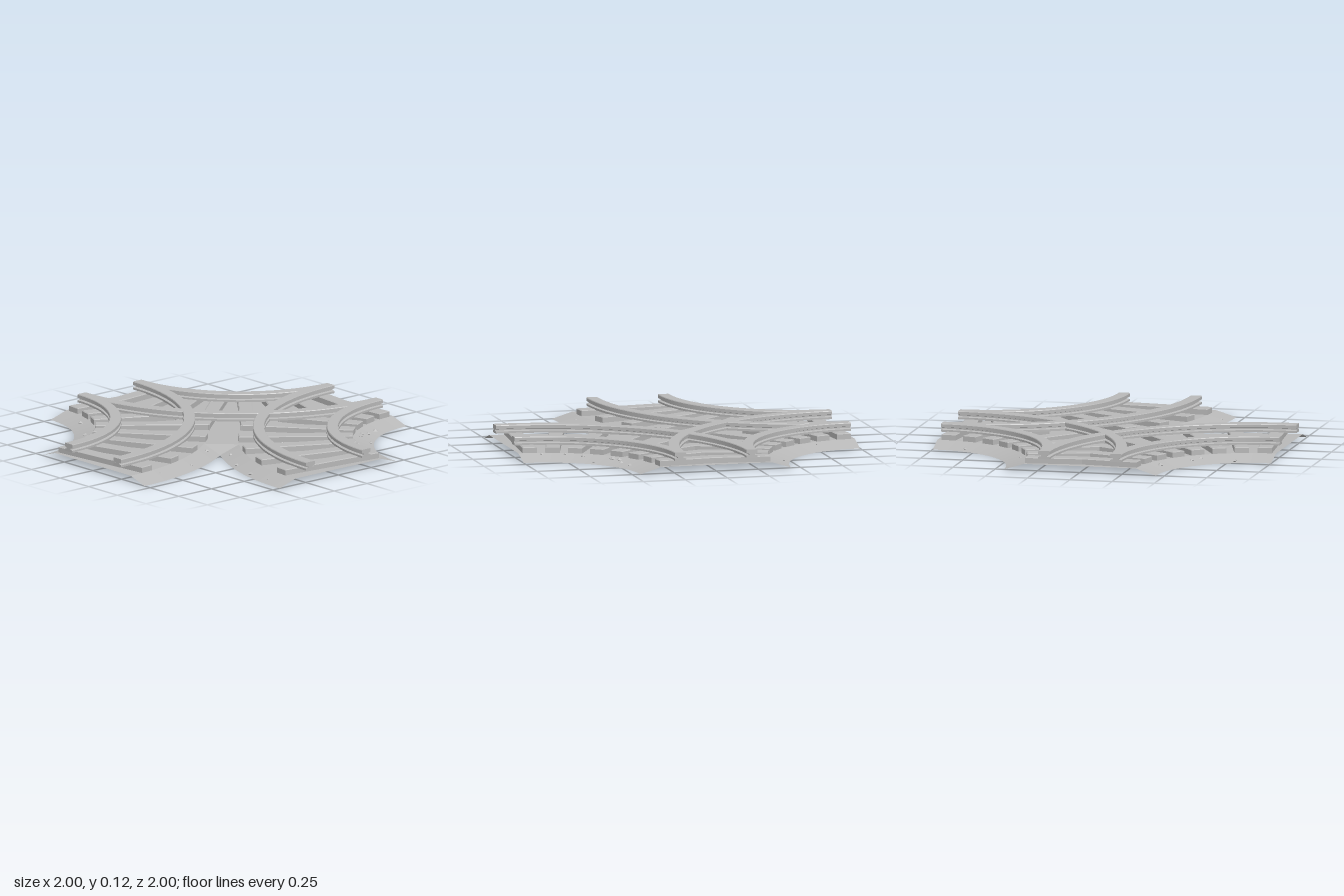
import * as THREE from 'three';
import { toCreasedNormals } from 'three/addons/utils/BufferGeometryUtils.js';

const Q = Math.PI / 2;
const BED = 0.037;      // height of the flat ballast
const FLAT = 0.33;      // half width of the flat ballast
const EDGE = 0.45;      // half width at the ground

// Three quarter-circle tracks; "shared" marks ends where two tracks merge
const TRACKS = [
  { x: -1, z: -1, start: 0, sharedStart: false, sharedEnd: true },
  { x: 1, z: -1, start: -Q, sharedStart: true, sharedEnd: true },
  { x: 1, z: 1, start: Math.PI, sharedStart: true, sharedEnd: false },
];

function arc(track, r, a, b, n = 28) {
  return Array.from({ length: n + 1 }, (_, i) => {
    const p = a + (b - a) * i / n;
    return [track.x + r * Math.sin(p), track.z + r * Math.cos(p)];
  });
}
const mirror = (pts) => pts.map(([x, z]) => [-z, -x]);

// Sloped strip between a raised line and a ground line
function slope(inner, outer) {
  const pos = [], index = [];
  inner.forEach(([x, z], i) => {
    pos.push(x, BED, z, outer[i][0], 0, outer[i][1]);
    const k = i * 2;
    if (i) index.push(k - 2, k - 1, k, k - 1, k + 1, k);
  });
  // turn the strip over if it faces down
  const [a, b] = [inner[0], outer[0]], c = inner[1];
  const up = (b[1] - a[1]) * (c[0] - a[0]) - (b[0] - a[0]) * (c[1] - a[1]);
  if (up < 0) index.reverse();
  const g = new THREE.BufferGeometry();
  g.setAttribute('position', new THREE.Float32BufferAttribute(pos, 3));
  g.setIndex(index);
  g.computeVertexNormals();
  return g;
}

function flatGeometry(points) {
  const shape = new THREE.Shape(points.map(([x, z]) => new THREE.Vector2(x, -z)));
  return new THREE.ShapeGeometry(shape).rotateX(-Q).translate(0, BED, 0);
}

// I-shaped rail profile, anticlockwise in (radius, height)
function railProfile(r) {
  const half = [[0.033, 0.069], [0.033, 0.081], [0.017, 0.085], [0.017, 0.092], [0.033, 0.096], [0.033, 0.113], [0.03, 0.117]];
  return [...half.map(([w, y]) => new THREE.Vector2(r + w, y)),
    ...half.slice().reverse().map(([w, y]) => new THREE.Vector2(r - w, y))];
}

function sleeperGeometry(track, offset) {
  const bevel = 0.006, w = 0.042 - bevel, r0 = 0.67 + bevel;
  // outer end is cut along the line where two tracks merge
  const end = (v) => {
    let r = FLAT + 1 - bevel;
    if (track.sharedStart && offset < Q / 2) r = Math.min(r, (1 + v * Math.sin(offset)) / Math.cos(offset));
    const t = Q - offset;
    if (track.sharedEnd && t < Q / 2) r = Math.min(r, (1 - v * Math.sin(t)) / Math.cos(t));
    return r;
  };
  const shape = new THREE.Shape([[r0, -w], [end(-w), -w], [end(w), w], [r0, w]]
    .map(([u, v]) => new THREE.Vector2(u, v)));
  const g = new THREE.ExtrudeGeometry(shape, {
    depth: 0.03, bevelEnabled: true, bevelSize: bevel, bevelThickness: 0.004, bevelSegments: 1,
  });
  return g.rotateX(-Q).rotateY(track.start + offset - Q).translate(track.x, 0.037, track.z);
}

function bedHeight(x, z) {
  const d = Math.min(...TRACKS.map((t) => Math.abs(Math.hypot(x - t.x, z - t.z) - 1)));
  return BED * THREE.MathUtils.clamp((EDGE - d) / (EDGE - FLAT), 0, 1);
}

export function createModel() {
  const model = new THREE.Group();
  const stone = new THREE.MeshStandardMaterial({ color: 0xb8b8b8, side: THREE.DoubleSide });
  stone.name = 'grey';
  const add = (parent, geometry, name) => {
    const mesh = new THREE.Mesh(geometry, stone);
    mesh.name = name;
    parent.add(mesh);
    return mesh;
  };
  const group = (name) => {
    const g = new THREE.Group();
    g.name = name;
    model.add(g);
    return g;
  };
  const [A, B, C] = TRACKS;

  // Ballast: one flat sheet with sloping banks
  const ballast = group('ballast');
  const outerTop = arc(A, 1 + FLAT, 0, 0.627);
  const outerFoot = arc(A, 1 + EDGE, 0, 0.5635);
  const mirroredTop = mirror(outerTop), mirroredFoot = mirror(outerFoot);
  const innerTop = (t) => arc(t, 1 - FLAT, t.start + Q, t.start);
  const innerFoot = (t) => arc(t, 1 - EDGE, t.start + Q, t.start);
  add(ballast, flatGeometry([
    ...outerTop, ...mirroredTop.slice().reverse(), ...innerTop(C), ...innerTop(B), ...innerTop(A),
  ]), 'ballastTop');
  for (const t of TRACKS) add(ballast, slope(innerTop(t), innerFoot(t)), 'innerBank');
  add(ballast, slope(outerTop, outerFoot), 'outerBank');
  add(ballast, slope(mirroredTop, mirroredFoot), 'outerBank');
  const last = outerTop.length - 1;
  add(ballast, slope([outerTop[last], mirroredTop[last]], [outerFoot[last], mirroredFoot[last]]), 'notchBank');

  // Rails with closed ends, and sleepers
  const rails = group('rails');
  const sleepers = group('sleepers');
  for (const t of TRACKS) {
    for (const r of [0.7875, 1.2125]) {
      const profile = railProfile(r);
      const lathe = new THREE.LatheGeometry([...profile, profile[0]], 40, t.start, Q);
      add(rails, toCreasedNormals(lathe, 0.4).translate(t.x, 0, t.z), 'rail');
      for (const p of [t.start, t.start + Q]) {
        const cap = new THREE.ShapeGeometry(new THREE.Shape(profile));
        add(rails, cap.rotateY(p - Q).translate(t.x, 0, t.z), 'railEnd');
      }
    }
    for (let i = 0; i < 8; i++) add(sleepers, sleeperGeometry(t, (i + 0.5) * Q / 8), 'sleeper');
  }

  // Loose pebbles: x, z, radius
  const pebbles = group('pebbles');
  [
    [-0.42, -0.77, 0.02], [-0.56, -0.57, 0.016], [-0.6, -0.51, 0.016], [-0.79, -0.47, 0.018],
    [-0.23, -0.67, 0.014], [0.41, -0.75, 0.011], [0.81, -0.45, 0.011], [-0.78, 0.05, 0.022],
    [-0.8, 0.36, 0.01], [-0.53, 0.32, 0.012], [-0.28, 0.17, 0.018], [-0.21, 0.3, 0.014],
    [-0.32, 0.48, 0.016], [-0.39, 0.68, 0.017], [-0.4, 0.84, 0.01], [0.11, 0.39, 0.022],
    [0.13, 0.36, 0.012], [0.2, 0.63, 0.01], [-0.06, 0.73, 0.012], [0.59, 0.51, 0.021],
    [0.63, 0.48, 0.018], [0.68, 0.48, 0.015], [0.76, 0.45, 0.018], [0.58, 0.62, 0.01],
    [0.46, 0.65, 0.017], [0.4, 0.74, 0.014], [0.36, 0.87, 0.014], [-0.05, -0.02, 0.008],
  ].forEach(([x, z, r], i) => {
    const pebble = add(pebbles, new THREE.OctahedronGeometry(r), 'pebble');
    pebble.position.set(x, Math.max(bedHeight(x, z), 0.012), z);
    pebble.rotation.y = i * 1.3;
    pebble.scale.y = 0.6;
  });

  return model;
}
